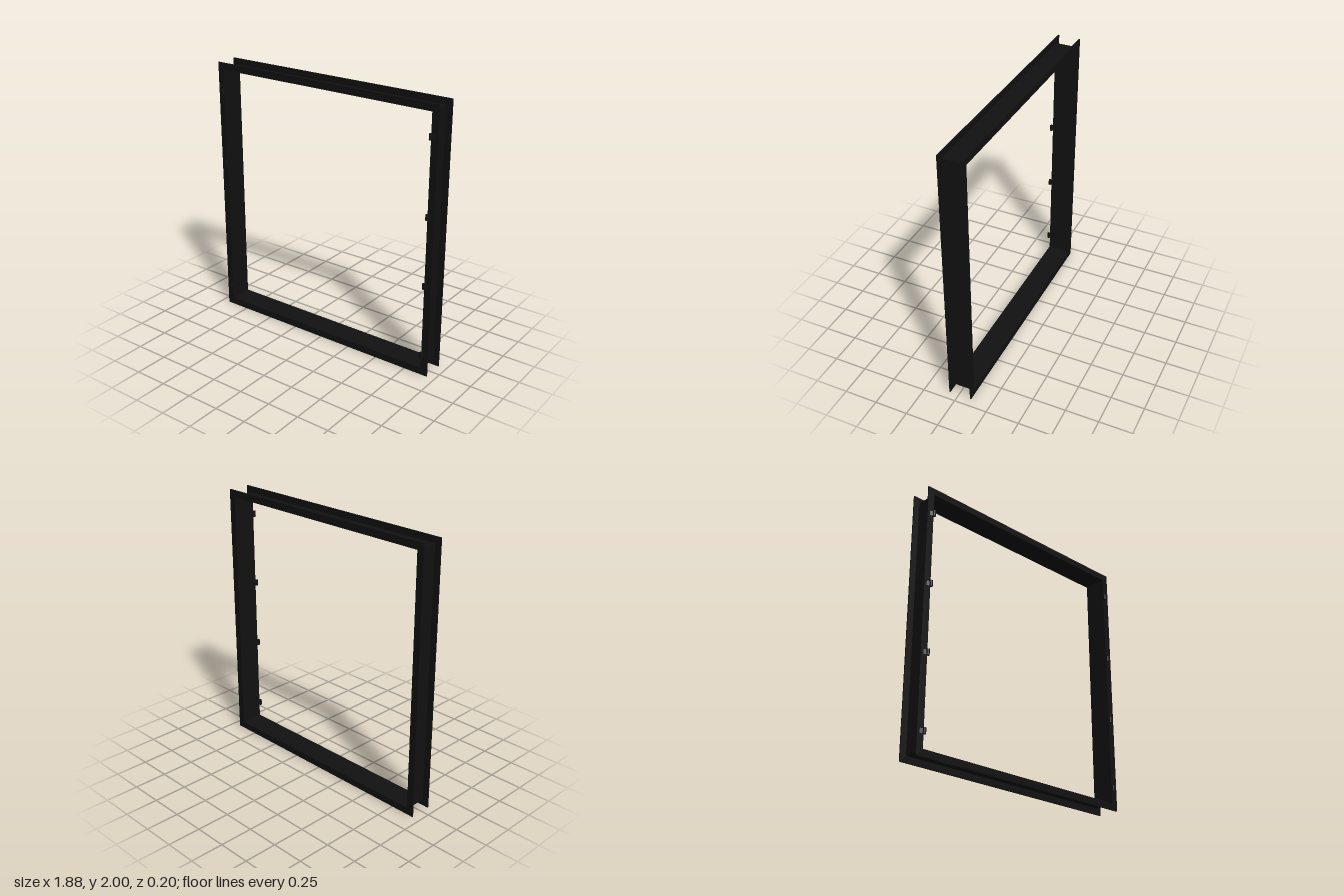
import * as THREE from 'three';

const CENTER_Y = 1;

function rectPath(path, hw, hh) {
  path.moveTo(-hw, -hh);
  path.lineTo(hw, -hh);
  path.lineTo(hw, hh);
  path.lineTo(-hw, hh);
  path.closePath();
  return path;
}

// Rectangular ring standing upright, running from z0 to z1
function ring(name, outer, inner, z0, z1, material) {
  const shape = rectPath(new THREE.Shape(), ...outer);
  shape.holes.push(rectPath(new THREE.Path(), ...inner));
  const geometry = new THREE.ExtrudeGeometry(shape, { depth: z1 - z0, bevelEnabled: false });
  const mesh = new THREE.Mesh(geometry, material);
  mesh.name = name;
  mesh.position.set(0, CENTER_Y, z0);
  return mesh;
}

// Small hinge: a tapered leaf on the front flange and an upright knuckle
function hinge(side, y, material) {
  const group = new THREE.Group();
  group.name = side > 0 ? 'leftHinge' : 'rightHinge';

  const leafShape = new THREE.Shape();
  leafShape.moveTo(0.92, 0.074);
  leafShape.lineTo(0.883, 0.074);
  leafShape.lineTo(0.883, 0.088);
  leafShape.lineTo(0.9, 0.082);
  leafShape.closePath();
  const leafGeometry = new THREE.ExtrudeGeometry(leafShape, { depth: 0.036, bevelEnabled: false });
  leafGeometry.rotateX(Math.PI / 2);
  const leaf = new THREE.Mesh(leafGeometry, material);
  leaf.name = 'hingeLeaf';
  leaf.position.y = 0.018;

  const knuckle = new THREE.Mesh(new THREE.CylinderGeometry(0.011, 0.011, 0.044, 16), material);
  knuckle.name = 'hingeKnuckle';
  knuckle.position.set(0.89, 0, 0.089);

  group.add(leaf, knuckle);
  group.scale.x = side;
  group.position.y = y;
  return group;
}

export function createModel() {
  const model = new THREE.Group();
  model.name = 'doorFrame';
  const material = new THREE.MeshStandardMaterial({ color: 0x111111 });

  // Channel section: two flanges joined by a thin web around the opening
  const opening = [0.886, 0.947];
  model.add(
    ring('frontFlange', [0.938, 1], opening, 0.066, 0.075, material),
    ring('backFlange', [0.938, 1], opening, -0.1, -0.091, material),
    ring('web', [0.892, 0.953], opening, -0.091, 0.066, material),
  );

  // Four hinges up each side
  for (const side of [-1, 1]) {
    for (const y of [0.167, 0.712, 1.224, 1.783]) model.add(hinge(side, y, material));
  }
  return model;
}
